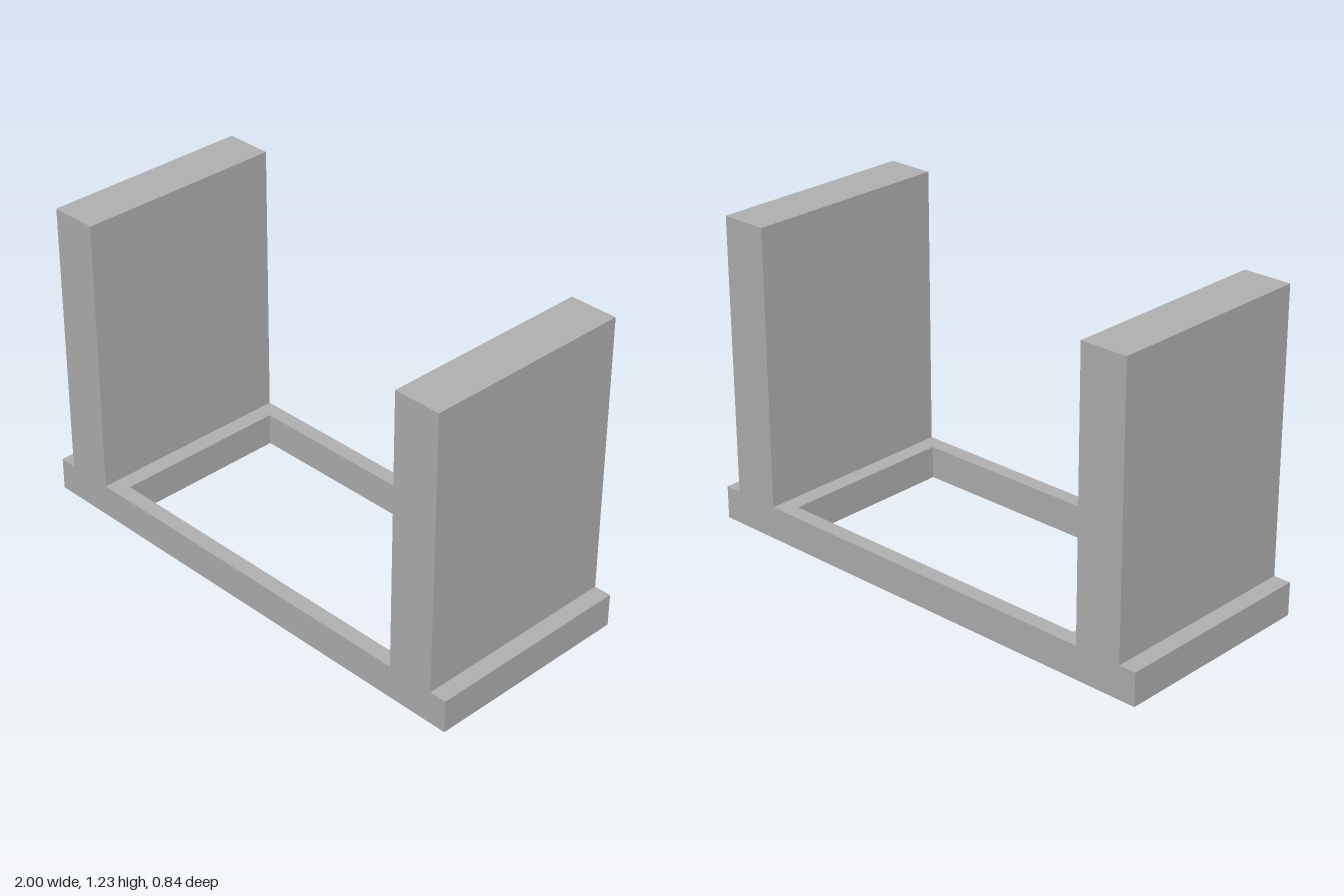
import * as THREE from 'three';

export function createModel() {
  const model = new THREE.Group();
  model.name = 'bracket';
  const grey = new THREE.MeshStandardMaterial({ color: 0xb2b2b2 });
  grey.name = 'plain grey';

  const baseHeight = 0.13, height = 1.226, depth = 0.836;

  // Rectangle outline, centred on the origin
  const rectangle = (path, halfX, halfY) => {
    path.moveTo(-halfX, -halfY);
    path.lineTo(halfX, -halfY);
    path.lineTo(halfX, halfY);
    path.lineTo(-halfX, halfY);
    path.closePath();
    return path;
  };

  // Base frame with a rectangular opening
  const outline = rectangle(new THREE.Shape(), 1, depth / 2);
  outline.holes.push(rectangle(new THREE.Path(), 0.677, 0.356));
  const baseGeometry = new THREE.ExtrudeGeometry(outline, { depth: baseHeight, bevelEnabled: false });
  baseGeometry.rotateX(-Math.PI / 2);
  const base = new THREE.Mesh(baseGeometry, grey);
  base.name = 'baseFrame';
  model.add(base);

  // Two upright walls, mirrored left and right
  const wallHeight = height - baseHeight;
  for (const [side, name] of [[1, 'leftWall'], [-1, 'rightWall']]) {
    const wall = new THREE.Mesh(new THREE.BoxGeometry(0.188, wallHeight, depth), grey);
    wall.position.set(side * 0.838, baseHeight + wallHeight / 2, 0);
    wall.name = name;
    model.add(wall);
  }

  return model;
}
